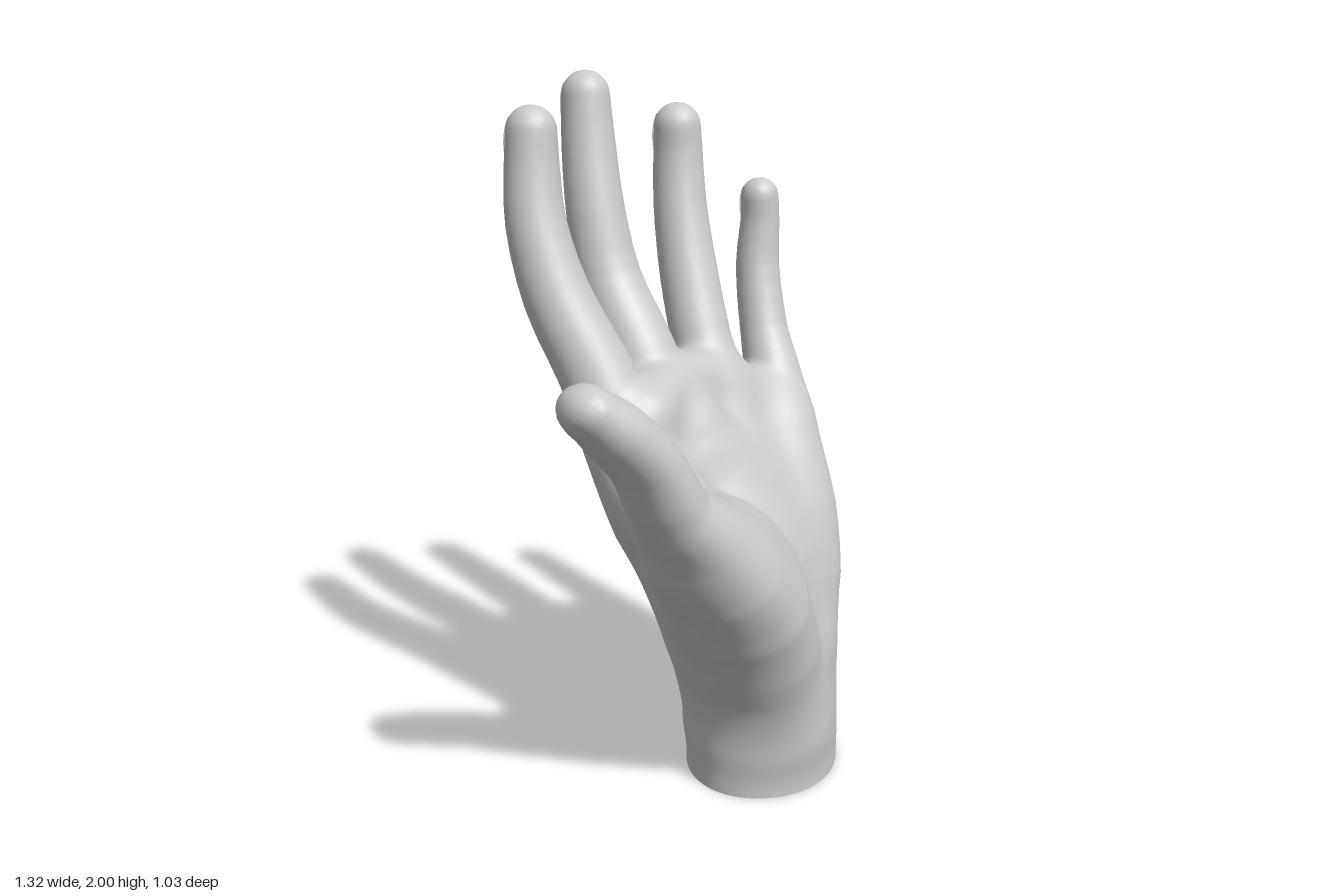
import * as THREE from 'three';

// Each chain is a bone line: points [x, y, z, radius]; squash widens the radius along z.
const chains = {
  wristInner: { squash: 0.9, pts: [[0.18, -0.3, 0.2, 0.224], [0.18, 0.1, 0.2, 0.222], [0.18, 0.3, 0.21, 0.18]] },
  wristOuter: { squash: 0.9, pts: [[0.26, -0.3, 0.12, 0.226], [0.26, 0.1, 0.12, 0.222], [0.27, 0.3, 0.14, 0.18]] },
  indexFinger: { pts: [
    [0.12, 0.35, 0.12, 0.13], [0.03, 0.6, 0.07, 0.14], [-0.06, 0.8, 0.01, 0.14], [-0.115, 1.0, -0.065, 0.122],
    [-0.15, 1.2, -0.155, 0.106], [-0.195, 1.4, -0.26, 0.096], [-0.21, 1.6, -0.33, 0.085], [-0.2, 1.75, -0.355, 0.077],
    [-0.195, 1.85, -0.36, 0.071]] },
  middleFinger: { pts: [
    [0.2, 0.35, 0.12, 0.125], [0.15, 0.6, 0.05, 0.143], [0.1, 0.8, -0.04, 0.14], [0.075, 1.0, -0.13, 0.128],
    [0.07, 1.2, -0.21, 0.106], [0.06, 1.4, -0.335, 0.096], [0.055, 1.6, -0.39, 0.086], [0.065, 1.8, -0.43, 0.078],
    [0.07, 1.93, -0.445, 0.07]] },
  ringFinger: { pts: [
    [0.3, 0.35, 0.12, 0.125], [0.3, 0.6, 0.06, 0.143], [0.3, 0.8, -0.02, 0.138], [0.3, 1.0, -0.12, 0.122],
    [0.31, 1.2, -0.205, 0.091], [0.33, 1.4, -0.285, 0.088], [0.345, 1.6, -0.34, 0.08], [0.355, 1.75, -0.36, 0.074],
    [0.352, 1.83, -0.36, 0.07]] },
  littleFinger: { pts: [
    [0.35, 0.22, 0.12, 0.14], [0.42, 0.52, 0.08, 0.152], [0.452, 0.7, 0.035, 0.145], [0.49, 0.9, -0.045, 0.122],
    [0.542, 1.05, -0.12, 0.09], [0.565, 1.2, -0.19, 0.074], [0.587, 1.4, -0.245, 0.067], [0.6, 1.54, -0.25, 0.06],
    [0.597, 1.61, -0.25, 0.058]] },
  thumb: { squash: 1.3, pts: [
    [0.15, 0.2, 0.19, 0.165], [0.06, 0.45, 0.23, 0.183], [-0.02, 0.6, 0.265, 0.182], [-0.12, 0.73, 0.305, 0.16],
    [-0.225, 0.855, 0.33, 0.127], [-0.335, 0.97, 0.35, 0.095], [-0.42, 1.11, 0.357, 0.086], [-0.52, 1.215, 0.354, 0.08],
    [-0.595, 1.28, 0.345, 0.065]] },
  // ball of the thumb, fold between thumb and index finger, hollow of the palm, flesh under the fingers
  thumbBall: { pts: [[-0.12, 0.78, 0.28, 0.12], [-0.02, 0.76, 0.24, 0.13], [0.07, 0.63, 0.22, 0.15], [0.1, 0.45, 0.21, 0.16]] },
  thumbFold: { pts: [[-0.2, 0.8, 0.3, 0.105], [-0.13, 0.815, 0.19, 0.1], [-0.1, 0.89, 0.06, 0.1]] },
  palmHollow: { pts: [[0.24, 0.38, 0.17, 0.14], [0.24, 0.6, 0.11, 0.14], [0.2, 0.8, 0.03, 0.13], [0.1, 1.0, -0.05, 0.115]] },
  pad: { pts: [[-0.08, 1.08, -0.04, 0.1], [0.08, 1.11, -0.115, 0.1], [0.3, 1.09, -0.15, 0.1], [0.49, 0.96, -0.1, 0.09]] },
};

// Resample a chain along a smooth curve into short tapered segments
function makeSegments({ pts, squash = 1 }) {
  const curve = new THREE.CatmullRomCurve3(pts.map(p => new THREE.Vector3(p[0], p[1], p[2] / squash)));
  const last = pts.length - 1, n = last * 3, samples = [];
  for (let i = 0; i <= n; i++) {
    const t = i / n, k = Math.min(Math.floor(t * last), last - 1), f = t * last - k;
    samples.push({ p: curve.getPoint(t), r: THREE.MathUtils.lerp(pts[k][3], pts[k + 1][3], f) });
  }
  const segments = [];
  for (let i = 0; i < n; i++) {
    const a = samples[i], b = samples[i + 1], d = b.p.clone().sub(a.p);
    const len2 = d.lengthSq(), dr = b.r - a.r;
    const lean = dr / Math.sqrt(Math.max(len2 - dr * dr, 1e-6) * len2);
    segments.push({ a: a.p, d, len2, r: a.r, dr, lean });
  }
  return { segments, squash };
}

// Distance to the nearest round cone of a chain
function chainDistance({ segments, squash }, x, y, zWorld) {
  const z = zWorld / squash;
  let best = Infinity;
  for (const { a, d, len2, r, dr, lean } of segments) {
    const px = x - a.x, py = y - a.y, pz = z - a.z;
    const t = (px * d.x + py * d.y + pz * d.z) / len2;
    const off2 = Math.max(px * px + py * py + pz * pz - t * t * len2, 0);
    const h = Math.min(1, Math.max(0, t + lean * Math.sqrt(off2)));
    best = Math.min(best, Math.sqrt(off2 + (t - h) * (t - h) * len2) - r - h * dr);
  }
  return best;
}

// All chains melted together: soft in the palm, tighter between the fingers
const bones = Object.values(chains).map(makeSegments);
function field(x, y, z) {
  const k = Math.min(0.09, Math.max(0.02, 0.09 - (y - 0.98) * 0.3));
  let d = Infinity;
  for (const bone of bones) {
    const e = chainDistance(bone, x, y, z);
    const h = Math.max(k - Math.abs(d - e), 0) / k;
    d = Math.min(d, e) - h * h * k * 0.25;
  }
  return d;
}

function gradient(x, y, z, e = 0.012) {
  return new THREE.Vector3(
    field(x + e, y, z) - field(x - e, y, z),
    field(x, y + e, z) - field(x, y - e, z),
    field(x, y, z + e) - field(x, y, z - e)).divideScalar(2 * e);
}

// Skin the field with one vertex per crossed grid cell; the wrist stays open at y = 0
function skinGeometry() {
  const s = 0.02, origin = [-0.74, -s / 2, -0.6], size = [73, 104, 61];
  const stride = [1, size[0], size[0] * size[1]];
  const values = new Float32Array(size[0] * size[1] * size[2]);
  const cellVertex = new Int32Array(values.length).fill(-1);
  const positions = [], normals = [], index = [];
  const each = (margin, fn) => {
    for (let k = 0; k < size[2] - margin; k++)
      for (let j = 0; j < size[1] - margin; j++)
        for (let i = 0; i < size[0] - margin; i++) fn([i, j, k], i + j * stride[1] + k * stride[2]);
  };
  each(0, (c, id) => { values[id] = field(...c.map((v, a) => origin[a] + v * s)); });

  each(1, (c, id) => {
    const sum = [0, 0, 0];
    let count = 0;
    for (let corner = 0; corner < 8; corner++) {
      const bits = [corner & 1, (corner >> 1) & 1, corner >> 2];
      const from = id + bits[0] + bits[1] * stride[1] + bits[2] * stride[2];
      for (let a = 0; a < 3; a++) {
        if (bits[a]) continue;
        const v0 = values[from], v1 = values[from + stride[a]];
        if ((v0 < 0) === (v1 < 0)) continue;
        for (let b = 0; b < 3; b++) sum[b] += bits[b] + (a === b ? v0 / (v0 - v1) : 0);
        count++;
      }
    }
    if (!count) return;
    const p = new THREE.Vector3(...sum.map((v, a) => origin[a] + (c[a] + v / count) * s));
    const g = gradient(p.x, p.y, p.z);
    p.addScaledVector(g, -field(p.x, p.y, p.z) / Math.max(g.lengthSq(), 0.3));
    if (c[1] === 0) p.y = 0;
    const n = gradient(p.x, p.y, p.z).normalize();
    cellVertex[id] = positions.length / 3;
    positions.push(p.x, p.y, p.z);
    normals.push(n.x, n.y, n.z);
  });

  each(1, (c, id) => {
    for (let a = 0; a < 3; a++) {
      const u = (a + 1) % 3, v = (a + 2) % 3;
      const inside = values[id] < 0;
      if (!c[u] || !c[v] || inside === (values[id + stride[a]] < 0)) continue;
      const q = [id - stride[u] - stride[v], id - stride[v], id, id - stride[u]].map(n => cellVertex[n]);
      if (!inside) q.reverse();
      index.push(q[0], q[1], q[2], q[0], q[2], q[3]);
    }
  });
  const geometry = new THREE.BufferGeometry();
  geometry.setAttribute('position', new THREE.Float32BufferAttribute(positions, 3));
  geometry.setAttribute('normal', new THREE.Float32BufferAttribute(normals, 3));
  geometry.setIndex(index);
  return geometry;
}

// A curved plate wrapped over the back of a fingertip
function makeNail(name, outward, material) {
  const { pts, squash = 1 } = chains[name];
  const [tip, before] = [pts.at(-1), pts.at(-2)].map(p => new THREE.Vector3(p[0], p[1], p[2]));
  const along = tip.clone().sub(before).normalize();
  const out = outward.clone().addScaledVector(along, -outward.dot(along)).normalize();
  const side = along.clone().cross(out);
  const r = pts.at(-1)[3];
  const geometry = new THREE.SphereGeometry(r * 1.09, 16, 16, Math.PI / 2 - 0.8, 1.6, 0.95, Math.PI - 1.9);
  geometry.scale(squash, 1.6, 1);
  const centre = tip.addScaledVector(along, -0.5 * r);
  geometry.applyMatrix4(new THREE.Matrix4().makeBasis(side, along, out).setPosition(centre));
  const nail = new THREE.Mesh(geometry, material);
  nail.name = name + 'Nail';
  return nail;
}

export function createModel() {
  const group = new THREE.Group();
  group.name = 'hand';
  const material = new THREE.MeshStandardMaterial({ color: 0xcccccc, side: THREE.DoubleSide });

  const skin = new THREE.Mesh(skinGeometry(), material);
  skin.name = 'palmAndFingers';
  group.add(skin);

  const back = new THREE.Vector3(0, 0, -1);
  for (const name of ['indexFinger', 'middleFinger', 'ringFinger', 'littleFinger']) {
    group.add(makeNail(name, back, material));
  }
  group.add(makeNail('thumb', new THREE.Vector3(-0.6, -0.8, 0), material));
  return group;
}
